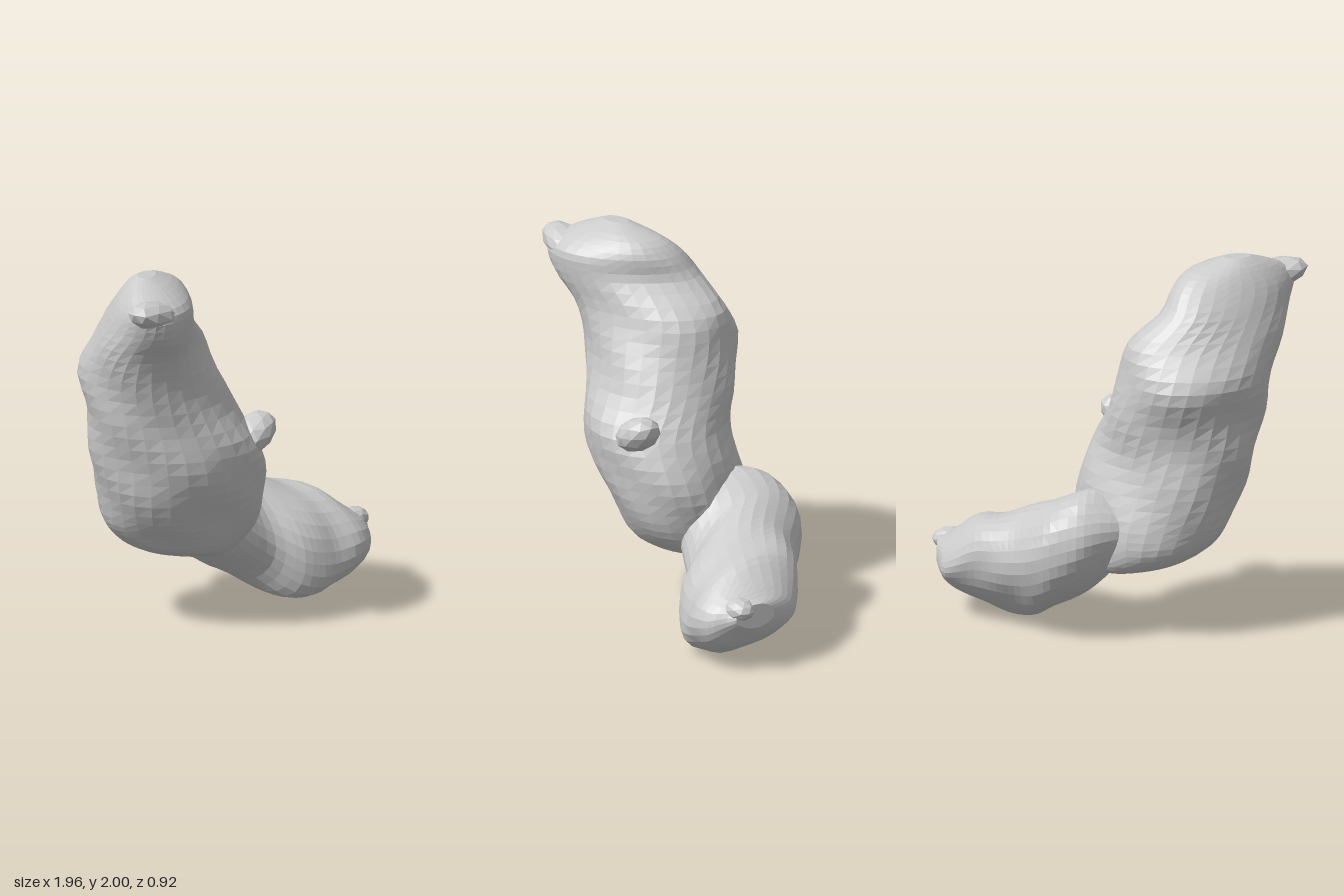
import * as THREE from 'three';

const material = new THREE.MeshStandardMaterial({ color: 0xcccccc, flatShading: true, roughness: 0.9 });

// Loft of skewed ovals. Each row: [s, uMin, uMax, vMin, vMax, skew]; place(s, u, v) gives the point.
function loft(name, rows, place, sides = 28, sub = 3) {
  const positions = [], index = [];
  const rings = (rows.length - 1) * sub + 1;
  const cubic = (k, i, f) => {
    const p = (j) => rows[Math.min(Math.max(j, 0), rows.length - 1)][k];
    const [a, b, c, d] = [p(i - 1), p(i), p(i + 1), p(i + 2)];
    return b + 0.5 * f * (c - a + f * (2 * a - 5 * b + 4 * c - d + f * (3 * (b - c) + d - a)));
  };
  for (let r = 0; r < rings; r++) {
    const i = Math.min(Math.floor(r / sub), rows.length - 2);
    const [s, u0, u1, v0, v1, skew] = rows[0].map((_, k) => cubic(k, i, r / sub - i));
    for (let j = 0; j < sides; j++) {
      const t = (j / sides) * Math.PI * 2;
      // gentle lumps that break up the smooth surface
      const lump = 1 + 0.015 * Math.sin(3 * t + 9 * s) + 0.015 * Math.sin(5 * t - 17 * s);
      positions.push(...place(s,
        (u0 + u1) / 2 + (u1 - u0) / 2 * Math.cos(t) * lump,
        (v0 + v1) / 2 + (v1 - v0) / 2 * Math.sin(t + skew) * lump));
    }
  }
  for (let r = 0; r < rings - 1; r++) {
    for (let j = 0; j < sides; j++) {
      const k = (j + 1) % sides;
      const a = r * sides + j, b = r * sides + k, c = a + sides, d = b + sides;
      index.push(a, c, b, b, c, d);
    }
  }
  // end caps
  const last = (rings - 1) * sides;
  for (let j = 1; j < sides - 1; j++) {
    index.push(0, j, j + 1, last, last + j + 1, last + j);
  }
  const geometry = new THREE.BufferGeometry();
  geometry.setAttribute('position', new THREE.Float32BufferAttribute(positions, 3));
  geometry.setIndex(index);
  geometry.computeVertexNormals();
  const mesh = new THREE.Mesh(geometry, material);
  mesh.name = name;
  return mesh;
}

// Small faceted swelling
function bump(name, position, scale, tilt) {
  const mesh = new THREE.Mesh(new THREE.IcosahedronGeometry(1, 1), material);
  mesh.name = name;
  mesh.position.set(...position);
  mesh.scale.set(...scale);
  mesh.rotation.z = tilt;
  return mesh;
}

export function createModel() {
  const group = new THREE.Group();
  group.name = 'bentLumpyForm';

  // Tall leaning part, ovals stacked upward; its underside slopes down to +x
  group.add(loft('upperBody', [
    [0.38, -0.38, 0.06, -0.26, 0.14, 0],
    [0.42, -0.47, 0.14, -0.35, 0.23, 0],
    [0.50, -0.54, 0.19, -0.40, 0.30, 0.1],
    [0.62, -0.61, 0.21, -0.40, 0.36, 0.15],
    [0.80, -0.69, 0.19, -0.38, 0.42, 0.15],
    [1.00, -0.74, 0.11, -0.37, 0.44, 0.15],
    [1.20, -0.78, 0.04, -0.39, 0.36, 0],
    [1.40, -0.82, -0.03, -0.44, 0.32, -0.1],
    [1.58, -0.87, -0.08, -0.35, 0.31, -0.3],
    [1.74, -0.90, -0.25, -0.26, 0.38, -0.5],
    [1.86, -0.91, -0.30, -0.16, 0.39, -0.55],
    [1.94, -0.83, -0.38, -0.07, 0.28, -0.5],
    [2.00, -0.70, -0.56, 0.04, 0.14, -0.3],
  ], (s, x, z) => [x, s - Math.max(0, 0.6 - s) * (x + 0.25) * 0.7, z]));

  // Low part reaching sideways and forward, ovals strung along x
  group.add(loft('lowerLobe', [
    [-0.10, -0.34, 0.08, 0.44, 0.74, 0],
    [0.04, -0.41, 0.14, 0.30, 0.79, -0.1],
    [0.16, -0.46, 0.17, 0.20, 0.78, -0.2],
    [0.30, -0.46, 0.22, 0.11, 0.72, -0.3],
    [0.40, -0.40, 0.35, 0.02, 0.67, -0.35],
    [0.50, -0.31, 0.41, 0.00, 0.62, -0.35],
    [0.60, -0.25, 0.43, 0.02, 0.58, -0.35],
    [0.72, -0.18, 0.46, 0.06, 0.55, -0.3],
    [0.83, -0.11, 0.44, 0.12, 0.46, -0.2],
    [0.90, -0.04, 0.37, 0.19, 0.40, 0],
    [0.94, 0.10, 0.33, 0.25, 0.38, 0],
  ], (s, z, y) => [s, y, z]));

  // Pointed swelling at the top and knobs on the front
  group.add(bump('topSnout', [-0.80, 1.85, 0.28], [0.19, 0.08, 0.11], -0.25));
  group.add(bump('frontKnob', [-0.03, 1.04, 0.33], [0.15, 0.09, 0.11], 0.5));
  group.add(bump('lobeTip', [0.88, 0.35, 0.28], [0.10, 0.06, 0.08], 0));
  return group;
}
